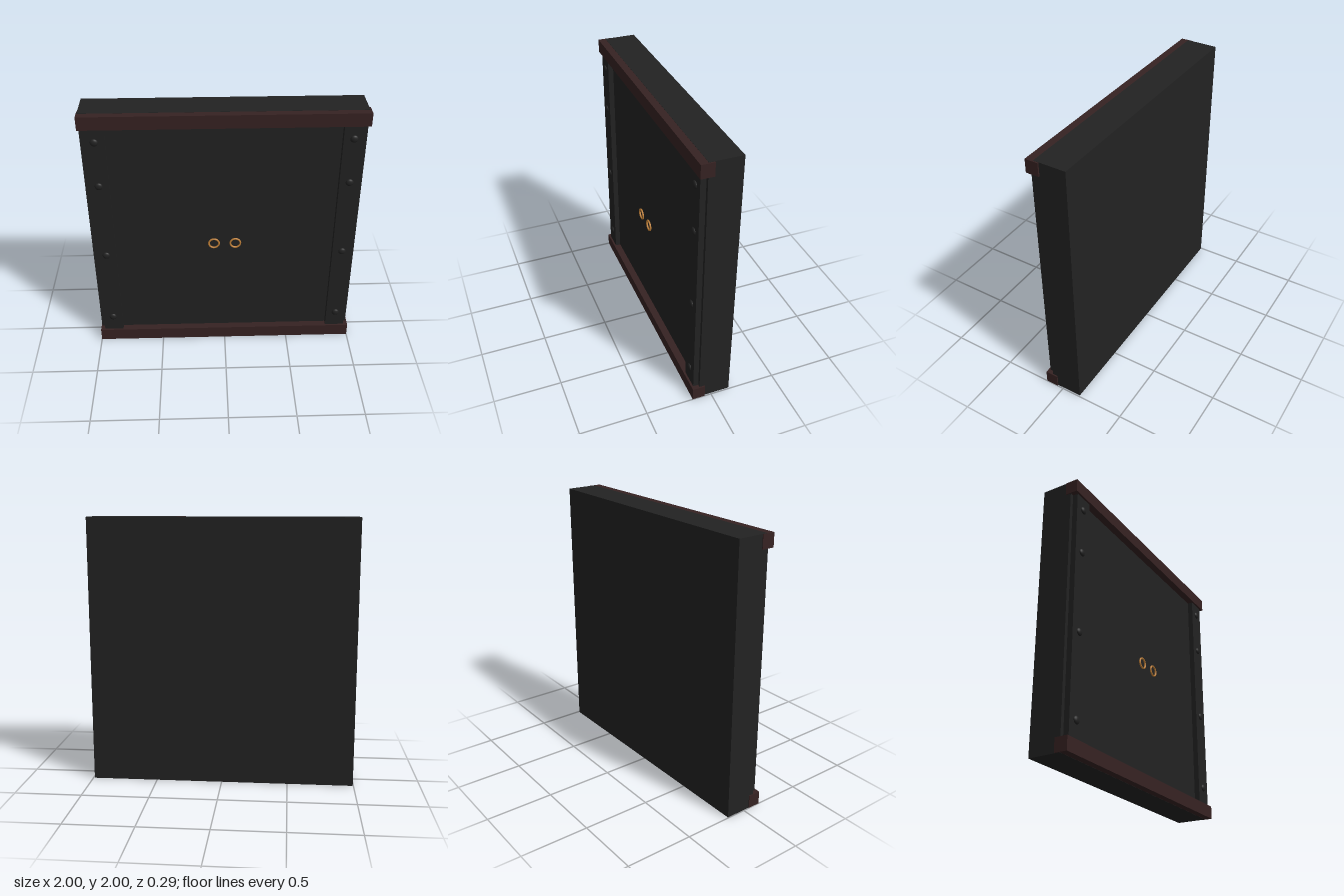
import * as THREE from 'three';

export function createModel() {
  const group = new THREE.Group();
  const material = (name, color) => {
    const m = new THREE.MeshStandardMaterial({ color });
    m.name = name;
    return m;
  };
  const charcoal = material('charcoal', 0x222222);
  const darkWood = material('dark red wood', 0x362222);
  const brass = material('brass', 0xc08038);

  const add = (name, geometry, mat, x, y, z) => {
    const mesh = new THREE.Mesh(geometry, mat);
    mesh.name = name;
    mesh.position.set(x, y, z);
    group.add(mesh);
    return mesh;
  };
  // Box given by its limits on each axis
  const box = (name, mat, [x0, x1], [y0, y1], [z0, z1]) =>
    add(name, new THREE.BoxGeometry(x1 - x0, y1 - y0, z1 - z0), mat,
      (x0 + x1) / 2, (y0 + y1) / 2, (z0 + z1) / 2);

  // Cabinet body
  box('body', charcoal, [-0.995, 0.99], [0, 2], [-0.145, 0.09]);

  // Rails across the bottom and top, a hair inside the body's ends
  box('bottomRail', darkWood, [-1, 1], [0.001, 0.1], [0.05, 0.145]);
  box('topRail', darkWood, [-1, 1], [1.9, 1.999], [0.05, 0.145]);

  const studGeometry = new THREE.SphereGeometry(0.028, 16, 12);
  const ringGeometry = new THREE.TorusGeometry(0.038, 0.007, 8, 24);
  for (const [side, s] of [['left', 1], ['right', -1]]) {
    // Upright strip with its studs
    box(side + 'Strip', charcoal, s > 0 ? [0.82, 0.967] : [-0.967, -0.82], [0.1, 1.9], [0.09, 0.13]);
    for (const y of [0.23, 0.84, 1.45, 1.8]) {
      add(side + 'Stud', studGeometry, charcoal, s * 0.893, y, 0.13).scale.z = 0.55;
    }
    // Door pull ring
    add(side + 'Ring', ringGeometry, brass, s * 0.08, 0.94, 0.137);
  }
  return group;
}
